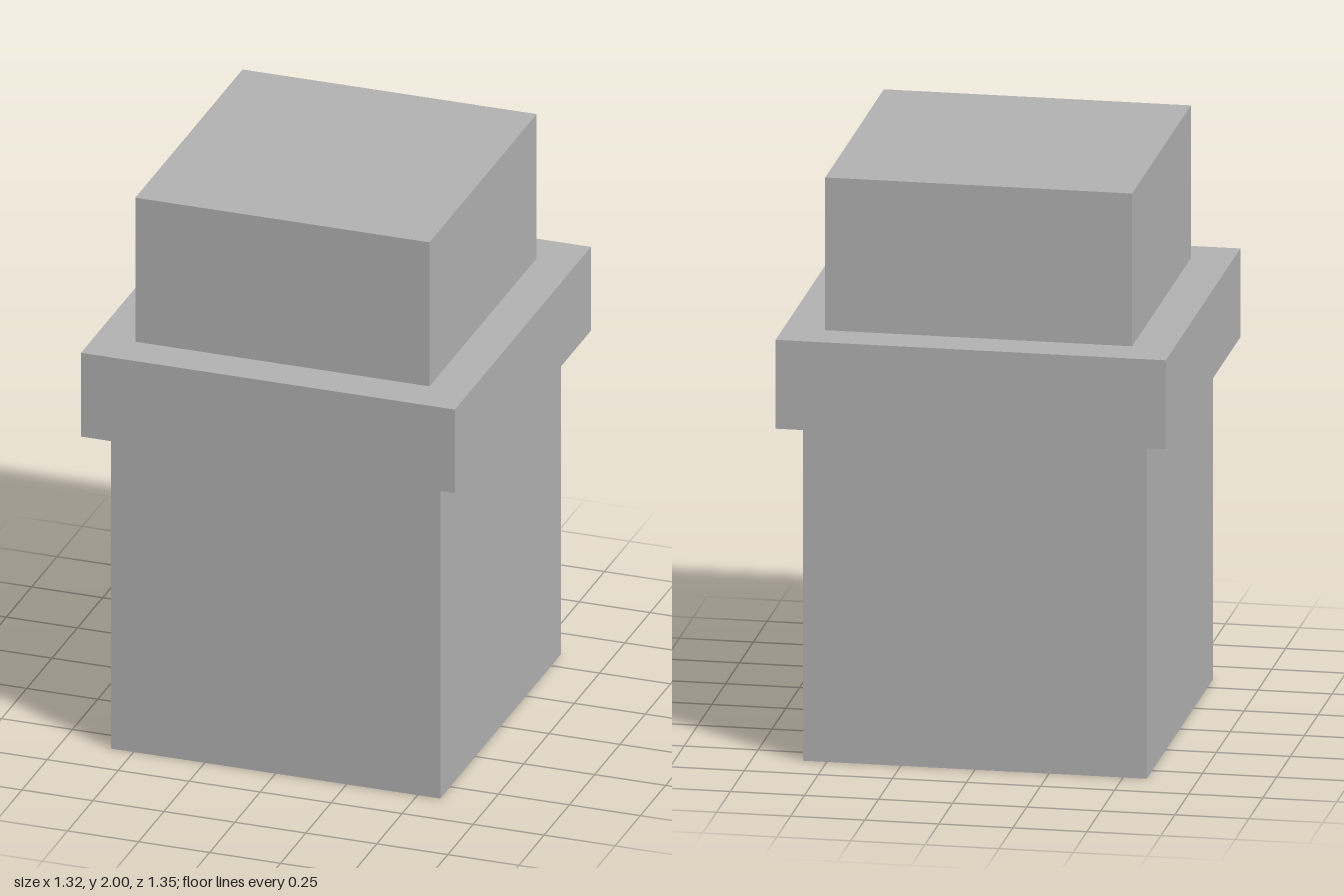
import * as THREE from 'three';

export function createModel() {
  const group = new THREE.Group();
  const grey = new THREE.MeshStandardMaterial({ color: 0xb2b2b2 });
  grey.name = 'grey';

  // One square block, given its width, depth, bottom and top height
  const addBlock = (name, width, depth, bottom, top) => {
    const mesh = new THREE.Mesh(new THREE.BoxGeometry(width, top - bottom, depth), grey);
    mesh.name = name;
    mesh.position.y = (bottom + top) / 2;
    group.add(mesh);
  };

  addBlock('base', 1.16, 1.195, 0, 1.165);
  addBlock('collar', 1.317, 1.345, 1.165, 1.472);
  addBlock('cap', 1.036, 1.06, 1.472, 2);

  return group;
}
